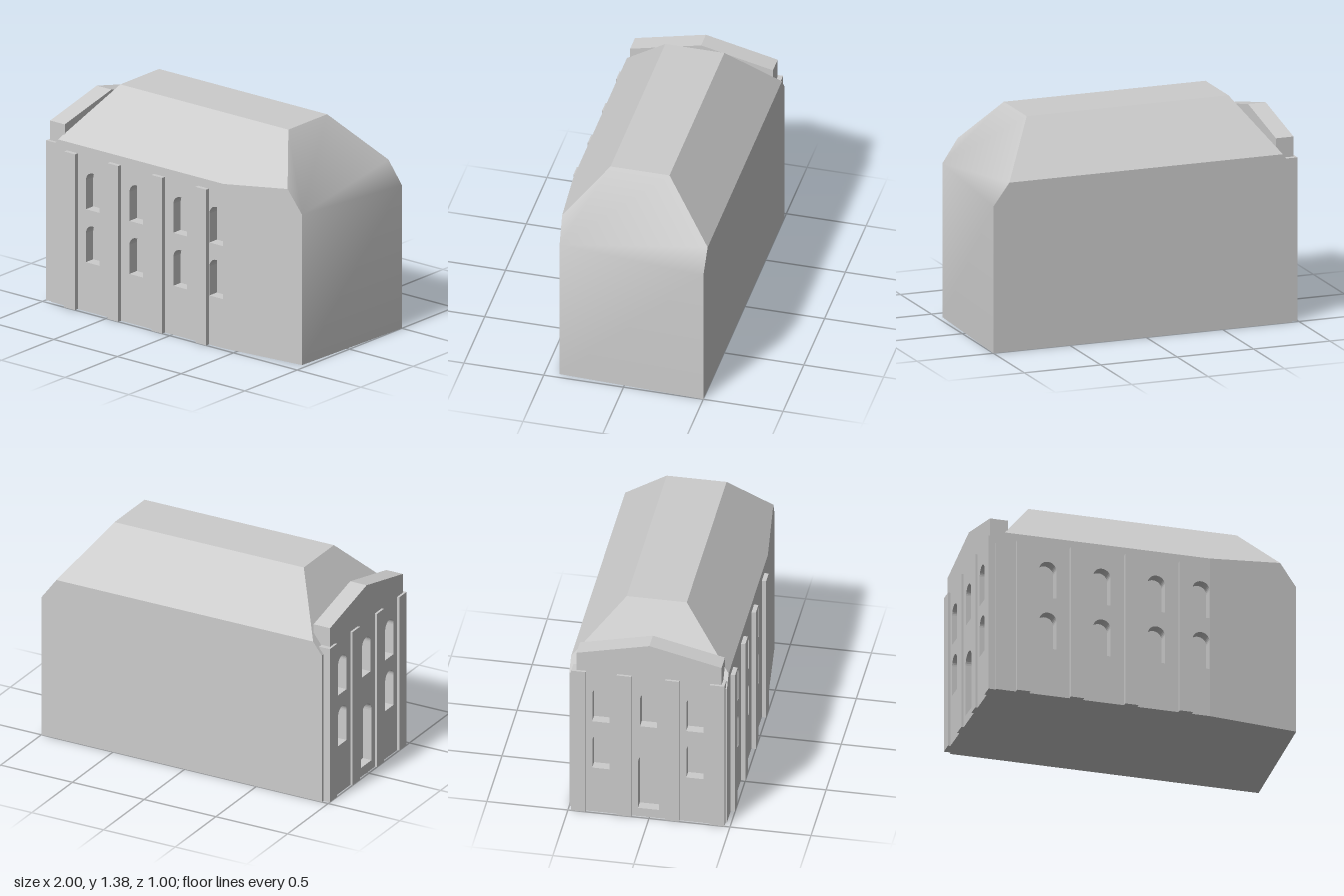
import * as THREE from 'three';

const stone = new THREE.MeshStandardMaterial({ color: 0xcccccc });
stone.name = 'pale grey stone';

// Corners of the main block: ground, wall tops, eaves and roof ridge
const P = {
  gFL: [-0.955, 0, 0.473], gFM: [0.4, 0, 0.473], gFR: [0.965, 0, 0.41], gBR: [1, 0, -0.5], gBL: [-0.955, 0, -0.5],
  wFL: [-0.955, 0.98, 0.473], wFR: [0.965, 0.965, 0.41], wBR: [1, 0.92, -0.5], wBL: [-0.955, 0.98, -0.5],
  eFL: [-0.9, 1.055, 0.473], eFM: [0.4, 1.055, 0.473], eFR: [0.86, 1.11, 0.421], eBR: [0.895, 1.06, -0.5], eBL: [-0.895, 1.06, -0.5],
  rFL: [-0.66, 1.38, 0.17], rFR: [0.66, 1.38, 0.17], rBR: [0.66, 1.38, -0.2], rBL: [-0.66, 1.38, -0.2],
};

// Faces sharing corners within one shell are smoothed together; all are turned outward
function shell(name, ...faces) {
  const names = [...new Set(faces.flatMap((f) => f.split(' ')))];
  const v = names.map((n) => new THREE.Vector3(...P[n]));
  const index = [];
  for (const f of faces) {
    const ids = f.split(' ').map((n) => names.indexOf(n));
    for (let i = 1; i < ids.length - 1; i++) {
      const [a, b, c] = [ids[0], ids[i], ids[i + 1]];
      const n = v[b].clone().sub(v[a]).cross(v[c].clone().sub(v[a]));
      const out = n.dot(v[a].clone().sub(new THREE.Vector3(0, 0.6, 0))) > 0;
      index.push(a, ...(out ? [b, c] : [c, b]));
    }
  }
  const geo = new THREE.BufferGeometry().setFromPoints(v);
  geo.setIndex(index);
  geo.computeVertexNormals();
  const mesh = new THREE.Mesh(geo, stone);
  mesh.name = name;
  return mesh;
}

function polygon(points) {
  return new THREE.Shape(points.map(([x, y]) => new THREE.Vector2(x, y)));
}

// Round-headed opening
function arch(x, bottom, top, width) {
  const r = width / 2;
  const p = new THREE.Path();
  p.moveTo(x - r, bottom);
  p.lineTo(x + r, bottom);
  p.lineTo(x + r, top - r);
  p.absarc(x, top - r, r, 0, Math.PI, false);
  p.closePath();
  return p;
}

function slab(name, shape, depth, z) {
  const geo = new THREE.ExtrudeGeometry(shape, { depth, bevelEnabled: false, curveSegments: 8 });
  geo.translate(0, 0, z);
  const mesh = new THREE.Mesh(geo, stone);
  mesh.name = name;
  return mesh;
}

function box(name, x0, x1, y0, y1, z0, z1) {
  const geo = new THREE.BoxGeometry(x1 - x0, y1 - y0, z1 - z0);
  geo.translate((x0 + x1) / 2, (y0 + y1) / 2, (z0 + z1) / 2);
  const mesh = new THREE.Mesh(geo, stone);
  mesh.name = name;
  return mesh;
}

export function createModel() {
  const model = new THREE.Group();
  model.name = 'building';

  // Main block and hipped roof with a flat top
  model.add(
    shell('base', 'gFL gFM gFR gBR gBL'),
    shell('backWall', 'gBL gBR wBR eBR eBL wBL'),
    shell('angledFrontWall', 'gFM gFR wFR eFR eFM'),
    shell('eastWallAndHip', 'gFR gBR wBR wFR', 'wFR wBR eBR rBR rFR eFR'),
    shell('frontRoof', 'eFL eFM eFR rFR rFL'),
    shell('backRoof', 'eBL eBR rBR rBL'),
    shell('westHip', 'wFL eFL rFL rBL eBL wBL'),
    shell('flatRoof', 'rFL rFR rBR rBL'),
  );

  // Front wall with two rows of recessed arched windows
  const front = polygon([[-0.955, 0], [0.4, 0], [0.4, 1.055], [-0.9, 1.055], [-0.955, 0.98]]);
  for (const x of [-0.627, -0.285, 0.06, 0.343]) {
    for (const y of [0.315, 0.655]) front.holes.push(arch(x, y, y + 0.24, 0.108));
  }
  model.add(slab('frontWall', front, 0.07, 0.403));
  model.add(box('frontWindowBacks', -0.9, 0.42, 0.02, 1.03, 0.39, 0.403));

  // Front pilasters
  for (const x of [-0.83, -0.49, -0.145, 0.2]) {
    model.add(box('frontPilaster', x, x + 0.085, 0, 1, 0.46, 0.5));
  }

  // Entrance facade on the short side, drawn facing forward and then turned
  const facade = new THREE.Group();
  facade.name = 'entranceFacade';
  const wall = polygon([[-0.48, 0], [0.465, 0], [0.465, 1.025], [-0.48, 1.025]]);
  for (const u of [-0.3, 0.28]) {
    for (const y of [0.32, 0.66]) wall.holes.push(arch(u, y, y + 0.25, 0.105));
  }
  wall.holes.push(arch(-0.005, 0.66, 0.91, 0.105), arch(-0.005, 0.06, 0.46, 0.13));
  facade.add(slab('facadeWall', wall, 0.06, 0.925));
  facade.add(box('facadeOpeningBacks', -0.45, 0.45, 0.02, 1, 0.915, 0.925));
  for (const [a, b] of [[-0.48, -0.39], [-0.2, -0.11], [0.1, 0.185], [0.375, 0.465]]) {
    facade.add(box('facadePilaster', a, b, 0, 1.025, 0.97, 1));
  }
  // Narrow returns where the main block shows beside the facade
  facade.add(box('backReturn', -0.499, -0.47, 0, 0.98, 0.9, 0.955));
  facade.add(box('frontReturn', 0.455, 0.472, 0, 0.98, 0.9, 0.955));
  // Gable above the facade
  const gable = polygon([[-0.45, 1.02], [0.445, 1.02], [0.445, 1.15], [0, 1.255], [-0.45, 1.15]]);
  facade.add(slab('gable', gable, 0.115, 0.87));
  facade.rotation.y = -Math.PI / 2;
  model.add(facade);

  return model;
}
